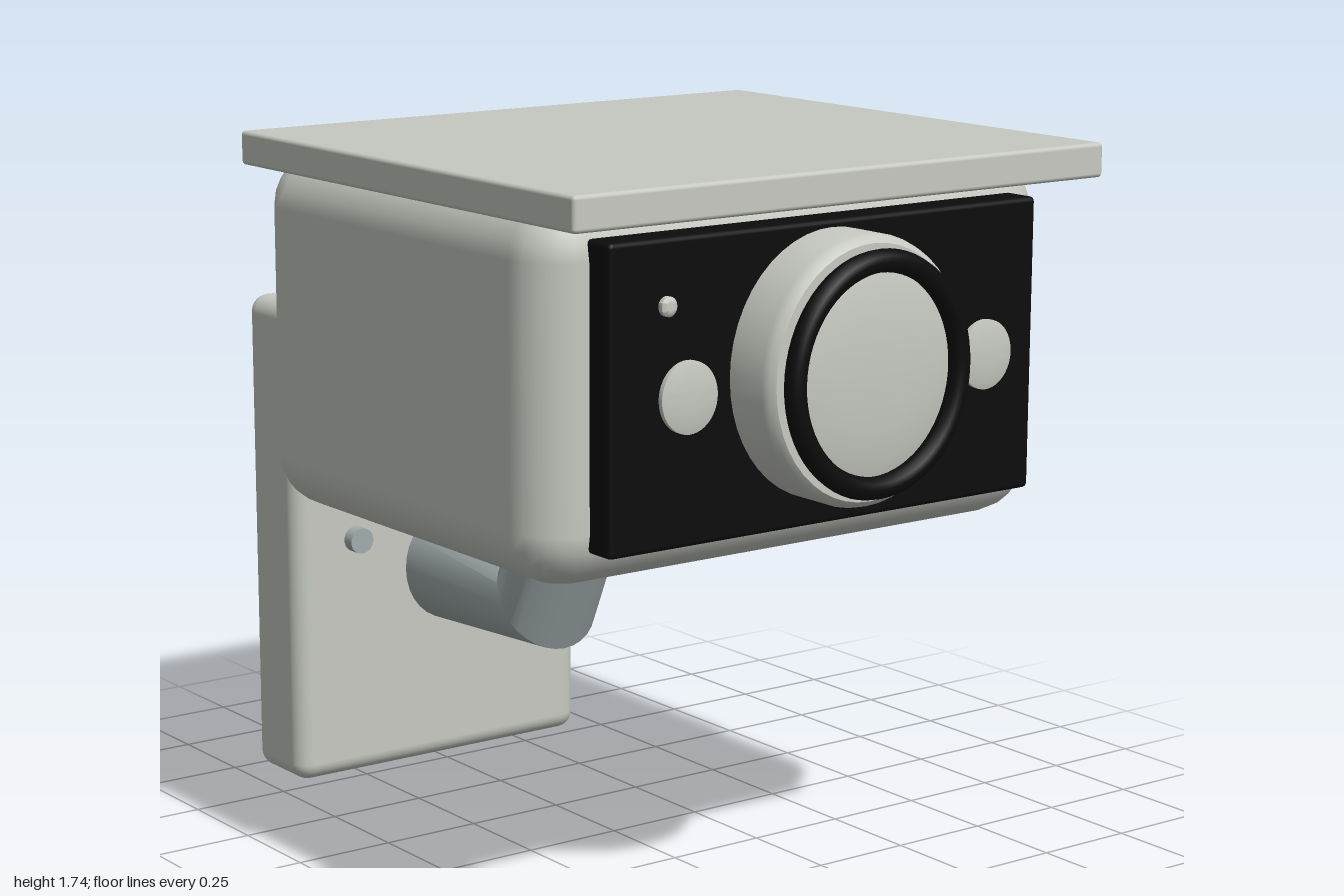
import * as THREE from 'three';
import { RoundedBoxGeometry } from 'three/addons/geometries/RoundedBoxGeometry.js';
import { toCreasedNormals } from 'three/addons/utils/BufferGeometryUtils.js';

const shell = new THREE.MeshStandardMaterial({ color: 0xc6c9c1 });
shell.name = 'shell grey';
const black = new THREE.MeshStandardMaterial({ color: 0x0c0c0d });
black.name = 'black';
const metal = new THREE.MeshStandardMaterial({ color: 0xa2adae });
metal.name = 'metal grey';

// Round part turned about z from a [radius, z] profile
function turned(profile, squash = 1) {
  const points = profile.map(([r, z]) => new THREE.Vector2(r, z));
  const g = toCreasedNormals(new THREE.LatheGeometry(points, 48), 0.6);
  return g.rotateX(Math.PI / 2).scale(squash, 1, 1);
}

// Tube through elliptical sections, mitred at the bend and capped at the end
function mitredTube(sections, rx, sides = 32) {
  const pos = [], idx = [];
  sections.forEach(({ y, z, uy, uz }) => {
    for (let i = 0; i < sides; i++) {
      const a = (i / sides) * Math.PI * 2;
      pos.push(rx * Math.cos(a), y + uy * Math.sin(a), z + uz * Math.sin(a));
    }
  });
  const end = sections[sections.length - 1];
  const centre = pos.length / 3;
  pos.push(0, end.y, end.z);
  for (let s = 0; s < sections.length; s++) {
    for (let i = 0; i < sides; i++) {
      const a = s * sides + i, b = s * sides + ((i + 1) % sides);
      if (s < sections.length - 1) idx.push(a, a + sides, b, b, a + sides, b + sides);
      else idx.push(centre, b, a);
    }
  }
  const g = new THREE.BufferGeometry();
  g.setAttribute('position', new THREE.Float32BufferAttribute(pos, 3));
  g.setIndex(idx);
  return toCreasedNormals(g, 0.5);
}

export function createModel() {
  const model = new THREE.Group();
  model.name = 'wallCamera';
  const add = (name, geometry, material, x, y, z) => {
    const mesh = new THREE.Mesh(geometry, material);
    mesh.name = name;
    mesh.position.set(x, y, z);
    model.add(mesh);
    return mesh;
  };

  // Housing with its overhanging lid
  add('housing', new RoundedBoxGeometry(1.44, 0.85, 1.19, 3, 0.13), shell, 0, 1.275, 0.145);
  add('lid', new RoundedBoxGeometry(1.48, 0.08, 1.35, 2, 0.01), shell, 0, 1.7, 0.205);

  // Face plate
  add('facePlate', new RoundedBoxGeometry(1.2, 0.68, 0.1, 2, 0.012), black, 0, 1.28, 0.76);

  // Lens barrel, rim ring and glass
  const oval = 0.925;
  add('lensBarrel', turned([
    [0.303, 0.8], [0.303, 0.92], [0.298, 0.938], [0.285, 0.95], [0, 0.95],
  ], oval), shell, 0, 1.3, 0);
  const ring = new THREE.TorusGeometry(0.25, 0.026, 12, 64).scale(oval, 1, 1);
  add('lensRing', ring, black, 0, 1.3, 0.974);
  add('lens', turned([
    [0.235, 0.945], [0.232, 0.955], [0.2, 0.963], [0.12, 0.971], [0, 0.975],
  ], oval), shell, 0, 1.3, 0);

  // Sensor discs and status light
  const disc = (r) => turned([
    [0, -0.013], [r * 0.8, -0.012], [r, -0.006], [r, 0.006], [r * 0.8, 0.01], [r * 0.4, 0.013], [0, 0.014],
  ], 0.93);
  for (const side of [-1, 1]) add('sensorDisc', disc(0.08), shell, side * 0.42, 1.28, 0.847);
  add('statusLight', disc(0.022), shell, -0.455, 1.475, 0.82);

  // Hinge barrel under the housing
  const hinge = new THREE.CylinderGeometry(0.225, 0.225, 0.47, 32).rotateZ(Math.PI / 2);
  add('hinge', hinge, shell, 0, 1.01, -0.11);

  // Bent arm, from the hinge back towards the wall plate
  add('arm', mitredTube([
    { y: 0.95, z: -0.1, uy: 0, uz: -0.135 },
    { y: 0.54, z: -0.2875, uy: 0.12, uz: -0.0775 },
    { y: 0.54, z: -0.72, uy: 0.15, uz: 0 },
  ], 0.14), metal, 0, 0, 0);

  // Wall plate and its screws
  add('wallPlate', new RoundedBoxGeometry(0.87, 1.25, 0.23, 4, 0.045), shell, 0, 0.625, -0.885);
  for (const side of [-1, 1]) {
    const screw = new THREE.CylinderGeometry(0.033, 0.033, 0.034, 24).rotateX(Math.PI / 2);
    add('screw', screw, metal, side * 0.265, 0.63, -0.745);
  }
  return model;
}
